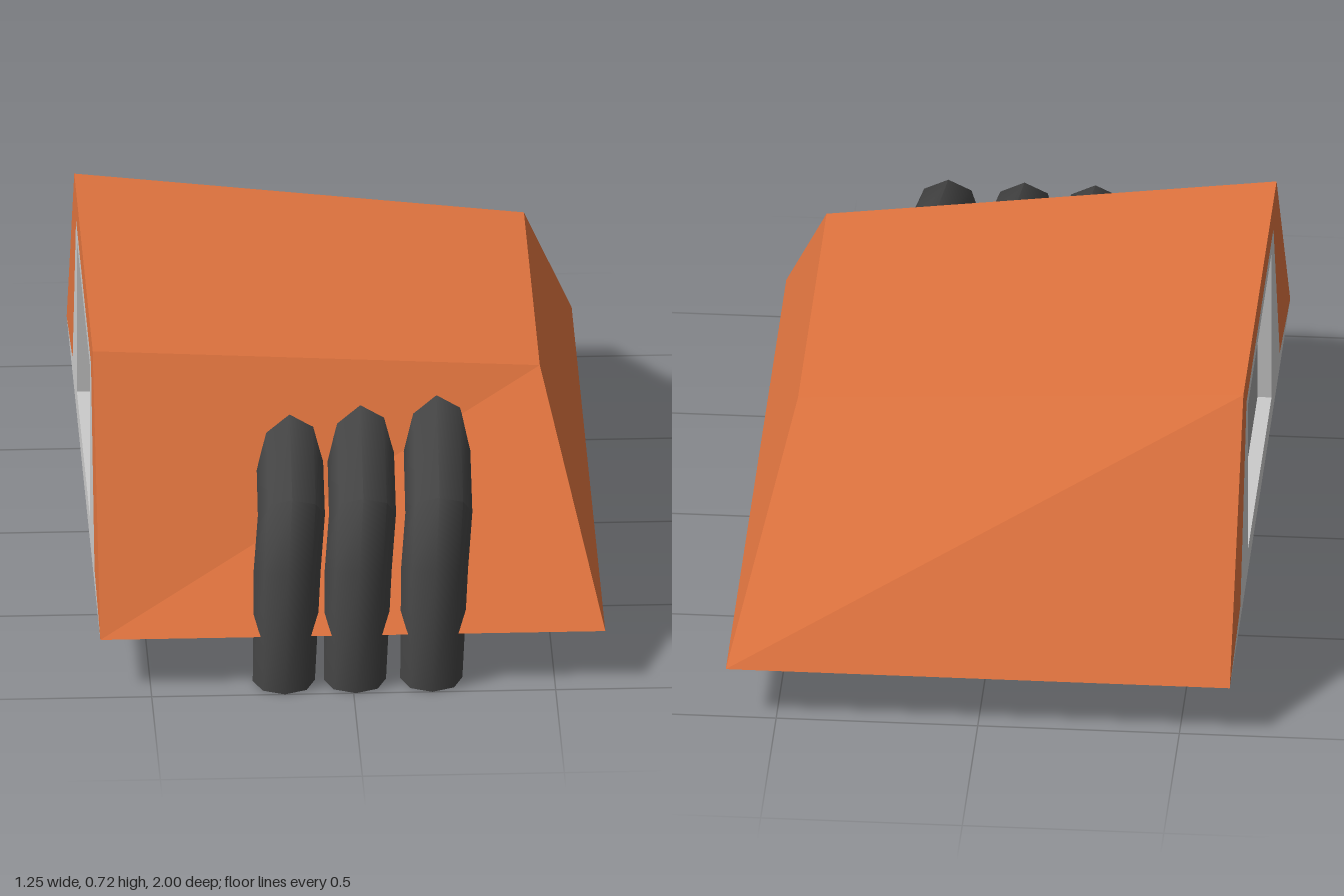
import * as THREE from 'three';
import { toCreasedNormals } from 'three/addons/utils/BufferGeometryUtils.js';

const ORANGE = new THREE.MeshStandardMaterial({ color: 0xe0743f });
const GREY = new THREE.MeshStandardMaterial({ color: 0xcccccc });
const PANEL = new THREE.MeshStandardMaterial({ color: 0xa0a0a0 });
const DARK = new THREE.MeshStandardMaterial({ color: 0x444444 });

const SIDE = -0.625; // x of the upright side
const BASE = 0.135; // height of the underside

// Flat-sided surface from quads, corners counter-clockwise seen from outside
function quads(list) {
  const pos = list.flatMap(([a, b, c, d]) => [a, b, c, a, c, d]).flat();
  const geo = new THREE.BufferGeometry();
  geo.setAttribute('position', new THREE.Float32BufferAttribute(pos, 3));
  geo.computeVertexNormals();
  return geo;
}

// Outline given as [z, y] points
const points = (list) => list.map(([z, y]) => new THREE.Vector2(z, y));

// Turns a drawing in (z, y) so that it faces -x at the given x
const faceSide = (geo, x) => geo.rotateY(-Math.PI / 2).translate(x, 0, 0);

// Eight-sided finger bent along a mitred path: [centre z, centre y, outward z, outward y, x shift]
function fingerGeometry() {
  const rings = [
    [0.93, 0.008, 0.07, -0.007, 0],
    [0.887, 0.285, 0.078, 0.024, 0.01],
    [0.83, 0.41, 0.055, 0.065, 0.023],
    [0.45, 0.508, 0.022, 0.079, 0.032],
  ];
  const widths = [0.077, 0.083, 0.083, 0.082];
  const geo = new THREE.CylinderGeometry(1, 1, 3, 8, 3);
  const p = geo.attributes.position;
  for (let i = 0; i < p.count; i++) {
    const k = Math.round(p.getY(i) + 1.5);
    const [cz, cy, oz, oy, dx] = rings[k];
    const out = p.getZ(i);
    p.setXYZ(i, dx + p.getX(i) * widths[k], cy + oy * out, cz + oz * out);
  }
  return toCreasedNormals(geo, 1.0);
}

export function createModel() {
  const model = new THREE.Group();
  const add = (name, geo, mat) => {
    const mesh = new THREE.Mesh(geo, mat);
    mesh.name = name;
    model.add(mesh);
    return mesh;
  };

  // Sloped shell: base corners and roof corners (front/back, upright side/sloped side)
  const bFL = [SIDE, BASE, 0.95], bFR = [-SIDE, BASE, 0.95];
  const bBL = [SIDE, BASE, -1], bBR = [-SIDE, BASE, -1];
  const tFL = [SIDE, 0.72, 0.51], tFR = [0.485, 0.625, 0.43];
  const tBL = [SIDE, 0.72, -0.56], tBR = [0.485, 0.625, -0.49];
  add('shell', quads([
    [bFL, bFR, tFR, tFL],
    [bBR, bBL, tBL, tBR],
    [bFR, bBR, tBR, tFR],
    [tFL, tFR, tBR, tBL],
  ]), ORANGE);
  add('underside', quads([[bBL, bBR, bFR, bFL]]), GREY);

  // Upright side: coloured rim around a grey frame
  const inner = [[-0.655, 0.175], [-0.459, 0.642], [0.41, 0.642], [0.612, 0.175]];
  const rim = new THREE.Shape(points([
    [-1, BASE], ...inner, [0.95, BASE], [0.51, 0.72], [-0.56, 0.72],
  ]));
  add('sideRim', faceSide(new THREE.ShapeGeometry(rim), SIDE), ORANGE);

  // Frame with a shallow rectangular recess
  const opening = points([[-0.408, 0.197], [0.348, 0.197], [0.348, 0.608], [-0.408, 0.608]]);
  const frame = new THREE.Shape(points([[-1, BASE], ...inner, [0.95, BASE]]));
  frame.holes.push(new THREE.Path(opening));
  const depth = 0.035;
  const frameGeo = new THREE.ExtrudeGeometry(frame, { depth, bevelEnabled: false });
  add('sideFrame', faceSide(frameGeo, SIDE + depth), GREY);
  add('recessPanel', faceSide(new THREE.ShapeGeometry(new THREE.Shape(opening)), SIDE + depth), PANEL);

  // Three bent fingers reaching into the front slope
  const finger = fingerGeometry();
  [-0.17, 0.006, 0.195].forEach((x, i) => {
    add('finger' + (i + 1), finger, DARK).position.x = x;
  });

  return model;
}
